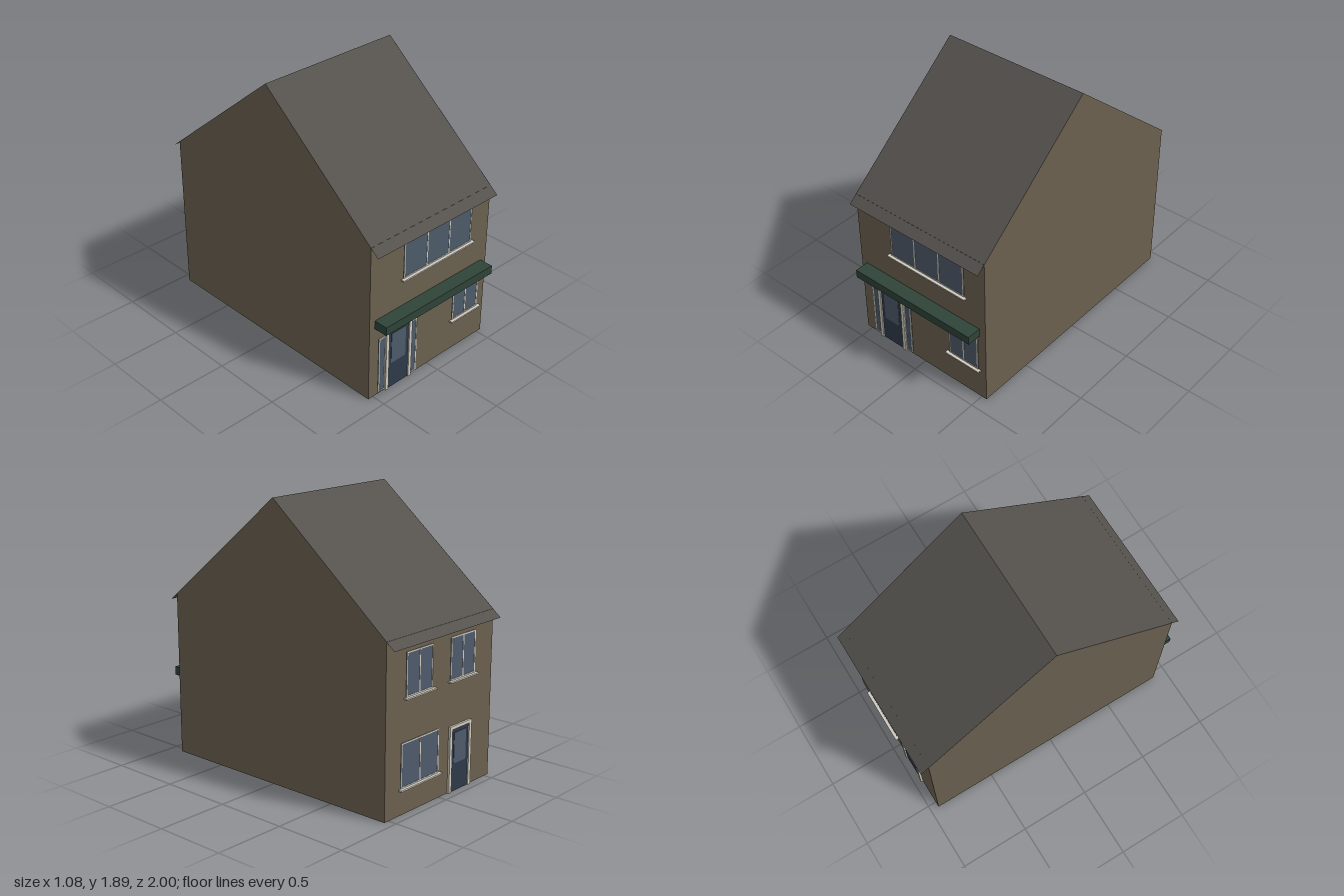
import * as THREE from 'three';

const paint = (color) => new THREE.MeshStandardMaterial({ color, side: THREE.DoubleSide, flatShading: true });
const HALF = 0.54, FRONT = 0.9, BACK = -0.94, WALL_TOP = 1.14;
const RIDGE_Y = 1.89, RIDGE_Z = -0.02, EAVE_Y = 1.09;

export function createModel() {
  const mats = {
    wall: paint(0x6a604f), roof: paint(0x55524e), frame: paint(0xd0ccc0),
    glass: paint(0x4e5a6a), door: paint(0x2e3a49), canopy: paint(0x2f4438),
  };
  const house = new THREE.Group();
  house.name = 'house';

  const add = (parent, name, geometry, mat) => {
    const mesh = new THREE.Mesh(geometry, mats[mat]);
    mesh.name = name;
    parent.add(mesh);
    return mesh;
  };
  // Box given by its limits on each axis
  const box = (parent, name, mat, x0, x1, y0, y1, z0, z1) => {
    const mesh = add(parent, name, new THREE.BoxGeometry(x1 - x0, y1 - y0, z1 - z0), mat);
    mesh.position.set((x0 + x1) / 2, (y0 + y1) / 2, (z0 + z1) / 2);
    return mesh;
  };
  // Flat sheet across the house, from a lower to an upper line
  const sheet = (name, mat, y0, z0, y1, z1) => {
    const g = new THREE.BufferGeometry();
    g.setAttribute('position', new THREE.Float32BufferAttribute([
      -HALF, y0, z0, HALF, y0, z0, HALF, y1, z1, -HALF, y1, z1], 3));
    // Wind the corners so the sheet faces outwards
    g.setIndex(z0 > RIDGE_Z ? [0, 1, 2, 0, 2, 3] : [0, 2, 1, 0, 3, 2]);
    g.computeVertexNormals();
    return add(house, name, g, mat);
  };

  // Hollow shell: two walls, two gables, open underneath
  sheet('frontWall', 'wall', 0, FRONT, WALL_TOP, FRONT);
  sheet('backWall', 'wall', 0, BACK, WALL_TOP, BACK);
  for (const side of [1, -1]) {
    const profile = new THREE.Shape([
      [FRONT, 0], [FRONT, WALL_TOP], [RIDGE_Z, RIDGE_Y], [BACK, WALL_TOP], [BACK, 0],
    ].map(([z, y]) => new THREE.Vector2(-side * z, y)));
    const gable = add(house, side > 0 ? 'leftGable' : 'rightGable', new THREE.ShapeGeometry(profile), 'wall');
    gable.rotation.y = side * Math.PI / 2;
    gable.position.x = side * HALF;
  }

  // Thin roof slopes running past the walls
  sheet('frontRoof', 'roof', EAVE_Y, 0.96, RIDGE_Y, RIDGE_Z);
  sheet('backRoof', 'roof', EAVE_Y, -1.0, RIDGE_Y, RIDGE_Z);

  // Window in a facade plane: glass, border, mullions and optional sill
  const addWindow = (facade, name, x0, x1, y0, y1, panes, sill = true) => {
    const w = new THREE.Group();
    w.name = name;
    facade.add(w);
    const t = 0.009, d = 0.005;
    box(w, 'glass', 'glass', x0, x1, y0, y1, 0, 0.003);
    box(w, 'bottomRail', 'frame', x0, x1, y0, y0 + t, 0, d);
    box(w, 'topRail', 'frame', x0, x1, y1 - t, y1, 0, d);
    for (let i = 0; i <= panes; i++) {
      const x = x0 + t / 2 + (x1 - x0 - t) * i / panes;
      box(w, i % panes ? 'mullion' : 'stile', 'frame', x - t / 2, x + t / 2, y0, y1, 0, d);
    }
    if (sill) box(w, 'sill', 'frame', x0 - 0.02, x1 + 0.02, y0 - 0.01, y0, 0, 0.025);
  };

  // Door with thick frame and glazed upper panel
  const addDoor = (facade, name, x0, x1, top) => {
    const d = new THREE.Group();
    d.name = name;
    facade.add(d);
    const t = 0.025;
    box(d, 'leaf', 'door', x0 + t, x1 - t, 0, top - 0.02, 0, 0.006);
    box(d, 'pane', 'glass', x0 + 0.052, x1 - 0.052, 0.19, top - 0.05, 0, 0.009);
    box(d, 'leftJamb', 'frame', x1 - t, x1, 0, top, 0, 0.015);
    box(d, 'rightJamb', 'frame', x0, x0 + t, 0, top, 0, 0.015);
    box(d, 'lintel', 'frame', x0 + t, x1 - t, top - 0.022, top, 0, 0.015);
  };

  // Front: wide upper window, lower window, door with sidelights, canopy
  const front = new THREE.Group();
  front.name = 'frontFacade';
  front.position.z = FRONT;
  house.add(front);
  addWindow(front, 'upperWindow', -0.25, 0.37, 0.79, 1.11, 3);
  addWindow(front, 'lowerWindow', 0.23, 0.475, 0.235, 0.55, 2);
  addWindow(front, 'rightSidelight', -0.457, -0.395, 0.01, 0.43, 1, false);
  addWindow(front, 'leftSidelight', -0.17, -0.11, 0.01, 0.43, 1, false);
  addDoor(front, 'frontDoor', -0.4, -0.167, 0.47);
  box(front, 'canopy', 'canopy', -0.495, 0.49, 0.53, 0.59, 0, 0.1);

  // Back: turned round, so its local x runs the other way
  const back = new THREE.Group();
  back.name = 'backFacade';
  back.position.z = BACK;
  back.rotation.y = Math.PI;
  house.add(back);
  addWindow(back, 'upperLeftWindow', -0.35, -0.09, 0.755, 1.04, 2);
  addWindow(back, 'upperRightWindow', 0.093, 0.35, 0.755, 1.04, 2);
  addWindow(back, 'lowerWindow', -0.39, -0.015, 0.175, 0.47, 2);
  addDoor(back, 'backDoor', 0.09, 0.32, 0.45);

  return house;
}
